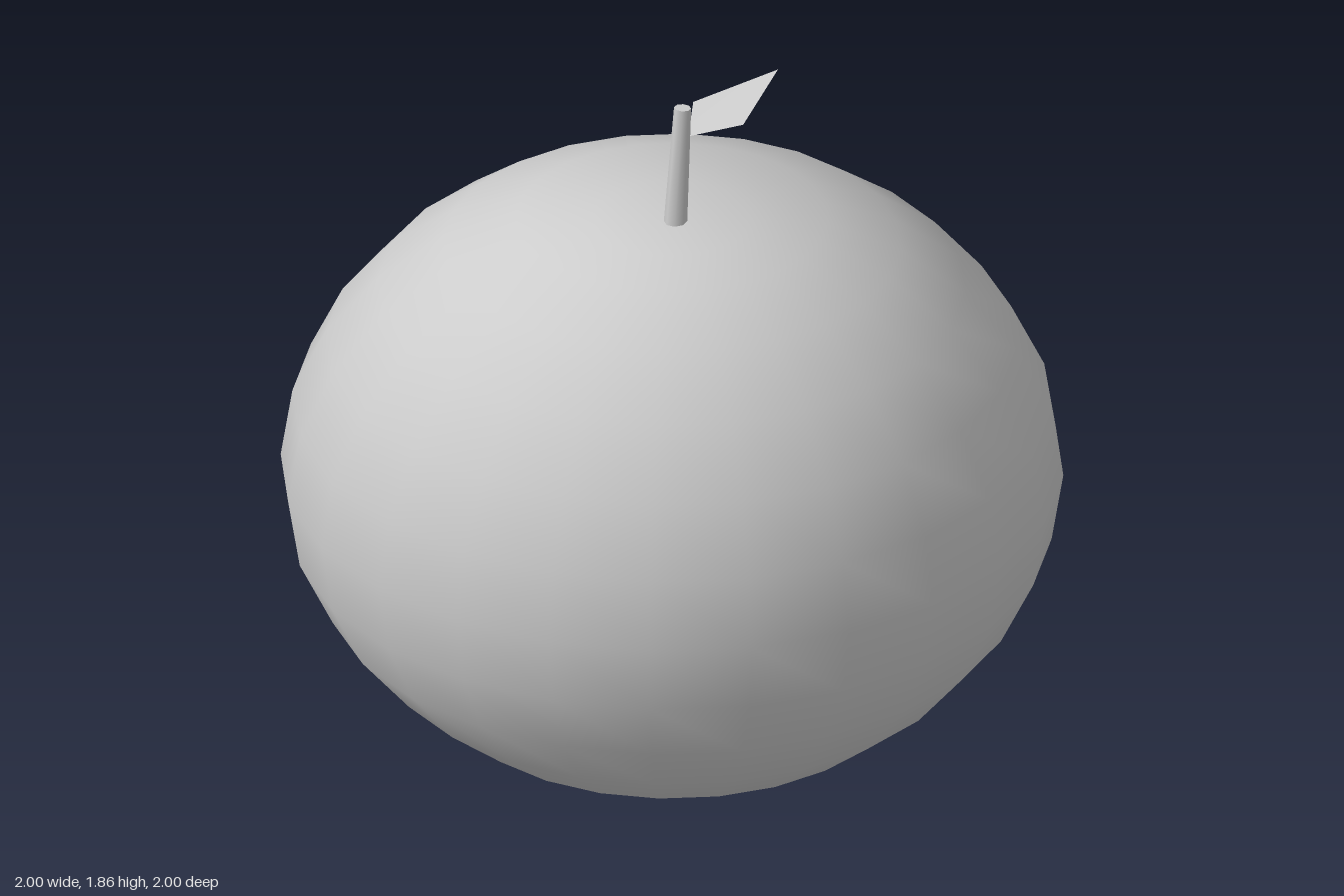
import * as THREE from 'three';

const grey = new THREE.MeshStandardMaterial({ color: 0xcccccc, side: THREE.DoubleSide });
grey.name = 'plain grey';

function addPart(group, geometry, name) {
  const mesh = new THREE.Mesh(geometry, grey);
  mesh.name = name;
  group.add(mesh);
  return mesh;
}

// Squashed sphere, pinched towards the poles and sunk around the stem
function fruitGeometry() {
  const rows = 14, halfHeight = 0.834;
  const dips = [0.133, 0.097, 0.034, 0.009];
  const geometry = new THREE.SphereGeometry(1, 24, rows);
  const p = geometry.attributes.position;
  for (let i = 0; i < p.count; i++) {
    const y = p.getY(i);
    const row = Math.floor(i / 25);
    const pinch = 1 - 0.1 * y * y;
    p.setXYZ(i, p.getX(i) * pinch, halfHeight * (1 + y) - (dips[row] ?? 0), p.getZ(i) * pinch);
  }
  // the smooth round normals of the sphere are kept on purpose
  return geometry;
}

export function createModel() {
  const model = new THREE.Group();
  model.name = 'fruit';

  addPart(model, fruitGeometry(), 'fruitBody');

  // Tapered stem leaning slightly to the model's left
  const stem = addPart(model, new THREE.CylinderGeometry(0.022, 0.03, 0.325, 8), 'stem');
  stem.position.set(0.024, 1.695, 0);
  stem.rotation.z = -0.075;

  // Flat four-cornered leaf rising away from the stem
  const leaf = new THREE.BufferGeometry();
  leaf.setAttribute('position', new THREE.Float32BufferAttribute([
    0.055, 1.767, 0,
    0.165, 1.797, 0.088,
    0.358, 1.854, 0.005,
    0.145, 1.802, -0.081,
  ], 3));
  leaf.setIndex([0, 1, 2, 0, 2, 3]);
  leaf.computeVertexNormals();
  addPart(model, leaf, 'leaf');

  return model;
}
